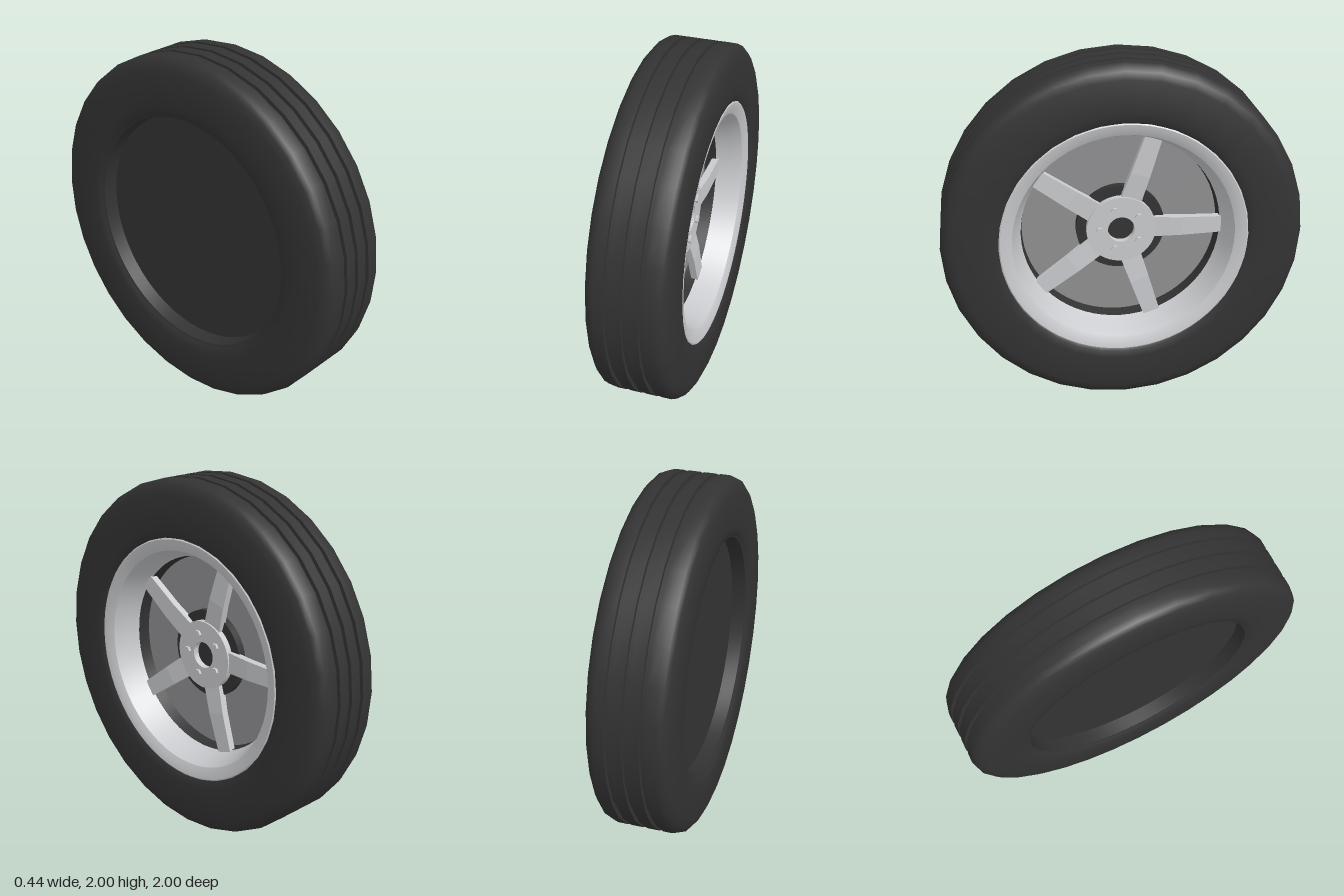
import * as THREE from 'three';
import { toCreasedNormals } from 'three/addons/utils/BufferGeometryUtils.js';

const mat = (name, color) => {
  const m = new THREE.MeshStandardMaterial({ color });
  m.name = name;
  return m;
};

export function createModel() {
  const rubber = mat('black rubber', 0x333333);
  const alloy = mat('light alloy', 0xcacbce);
  const steel = mat('brake steel', 0x909092);

  const wheel = new THREE.Group();
  wheel.name = 'wheel';
  wheel.position.y = 1;

  const add = (name, geometry, material, parent = wheel) => {
    const mesh = new THREE.Mesh(geometry, material);
    mesh.name = name;
    parent.add(mesh);
    return mesh;
  };

  // Revolves [radius, x] pairs around the axle (the x axis)
  const turned = (name, profile, segments, material, crease = 0.6) => {
    const g = new THREE.LatheGeometry(profile.map(([r, x]) => new THREE.Vector2(r, x)), segments);
    g.rotateZ(-Math.PI / 2);
    return add(name, toCreasedNormals(g, crease), material);
  };

  // Tyre: rounded shoulders and three tread grooves
  const side = [[0.685, 0.205], [0.7, 0.215], [0.74, 0.22], [0.925, 0.22], [0.965, 0.205], [0.99, 0.185], [1, 0.155]];
  const tread = [];
  for (const x of [-0.09, 0, 0.09]) {
    tread.push([1, x - 0.012], [0.975, x - 0.012], [0.975, x + 0.012], [1, x + 0.012]);
  }
  turned('tire', [...side.map(([r, x]) => [r, -x]), ...tread, ...side.slice().reverse()], 32, rubber, 0.75);

  // Rim dish: rounded lip, then a wall sloping in towards the spokes
  turned('rim', [[0.685, 0.19], [0.69, 0.205], [0.68, 0.212], [0.65, 0.207], [0.615, 0.19],
    [0.59, 0.13], [0.575, 0.08], [0.56, 0.045]], 64, alloy);

  // Dark barrel behind the rim, and the closed recessed back
  turned('barrel', [[0.575, 0.044], [0.56, 0.044], [0.551, -0.03]], 64, rubber);
  turned('backPlate', [[0, -0.12], [0.66, -0.12], [0.67, -0.2], [0.69, -0.207]], 64, rubber);

  // Brake disc and its drum
  turned('brakeDisc', [[0, -0.06], [0.56, -0.06], [0.56, -0.025], [0, -0.025]], 64, steel);
  turned('brakeDrum', [[0.25, -0.03], [0.25, 0.02], [0, 0.02]], 48, rubber);

  // Hub ring with an open centre
  turned('hub', [[0.075, 0.015], [0.195, 0.015], [0.195, 0.055], [0.075, 0.055], [0.075, 0.015]], 48, alloy);

  // Spoke: a tapering bar, bent a third of the way out
  const stations = [
    { r: 0.16, back: 0.0, front: 0.042, half: 0.06 },
    { r: 0.34, back: 0.018, front: 0.058, half: 0.055 },
    { r: 0.578, back: 0.02, front: 0.06, half: 0.048 },
  ];
  const bar = new THREE.BoxGeometry(2, 2, 2, 1, 1, 2);
  const p = bar.attributes.position;
  for (let i = 0; i < p.count; i++) {
    const s = stations[Math.round(1 - p.getZ(i))];
    p.setXYZ(i, p.getX(i) > 0 ? s.front : s.back, p.getY(i) * s.half, -s.r);
  }
  const spokeGeometry = bar.toNonIndexed();
  spokeGeometry.computeVertexNormals();

  // Hexagonal wheel bolt
  const boltGeometry = toCreasedNormals(
    new THREE.CylinderGeometry(0.023, 0.023, 0.03, 6).rotateZ(-Math.PI / 2), 0.5);

  for (let k = 0; k < 5; k++) {
    const angle = (k * Math.PI * 2) / 5;
    add('spoke', spokeGeometry, alloy).rotation.x = angle;
    const bolt = add('bolt', boltGeometry, alloy);
    bolt.position.set(0.054, 0.122 * Math.sin(angle), 0.122 * Math.cos(angle));
  }

  const model = new THREE.Group();
  model.name = 'carWheel';
  model.add(wheel);
  return model;
}
